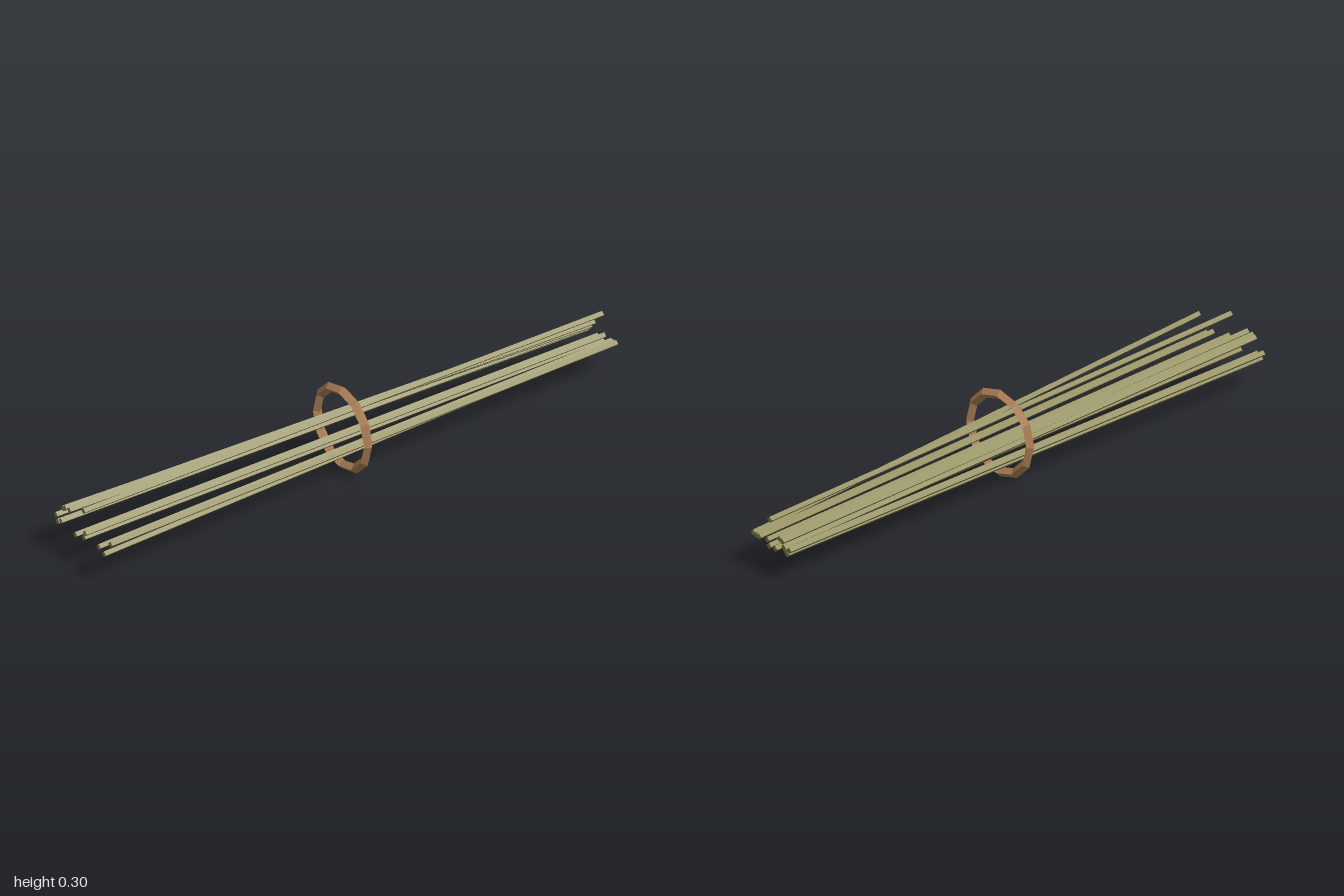
import * as THREE from 'three';

export function createModel() {
  const model = new THREE.Group();
  const wood = new THREE.MeshStandardMaterial({ color: 0x8c8752, flatShading: true });
  wood.name = 'olive stick';
  const binding = new THREE.MeshStandardMaterial({ color: 0xb6855a, flatShading: true });
  binding.name = 'tan binding';

  // Binding ring around the bundle
  const ring = new THREE.Mesh(new THREE.TorusGeometry(0.1335, 0.0165, 4, 12), binding);
  ring.name = 'bindingRing';
  ring.rotation.y = Math.PI / 2;
  ring.position.y = 0.15;
  model.add(ring);

  // Sticks: y, z at the left end (+x), then y, z at the spread right end (-x)
  const sticks = [
    [0.196, 0.0, 0.216, 0.0],
    [0.145, -0.043, 0.182, -0.074],
    [0.140, -0.055, 0.178, -0.097],
    [0.122, -0.062, 0.172, -0.108],
    [0.119, -0.086, 0.130, -0.144],
    [0.104, -0.077, 0.110, -0.135],
    [0.113, -0.070, 0.120, -0.118],
    [0.104, -0.024, 0.108, -0.042],
    [0.104, 0.003, 0.120, 0.003],
    [0.123, 0.011, 0.138, 0.008],
    [0.121, 0.047, 0.125, 0.080],
    [0.123, 0.059, 0.112, 0.108],
    [0.126, 0.073, 0.165, 0.142],
  ];
  const bundle = new THREE.Group();
  bundle.name = 'stickBundle';
  const up = new THREE.Vector3(0, 1, 0);
  for (const [y0, z0, y1, z1] of sticks) {
    const a = new THREE.Vector3(0.9995, y0, z0);
    const b = new THREE.Vector3(-0.9995, y1, z1);
    const dir = a.clone().sub(b);
    const stick = new THREE.Mesh(new THREE.CylinderGeometry(0.0105, 0.0105, dir.length(), 4), wood);
    stick.name = 'stick';
    stick.position.copy(a).add(b).multiplyScalar(0.5);
    stick.quaternion.setFromUnitVectors(up, dir.normalize());
    bundle.add(stick);
  }
  model.add(bundle);
  return model;
}
